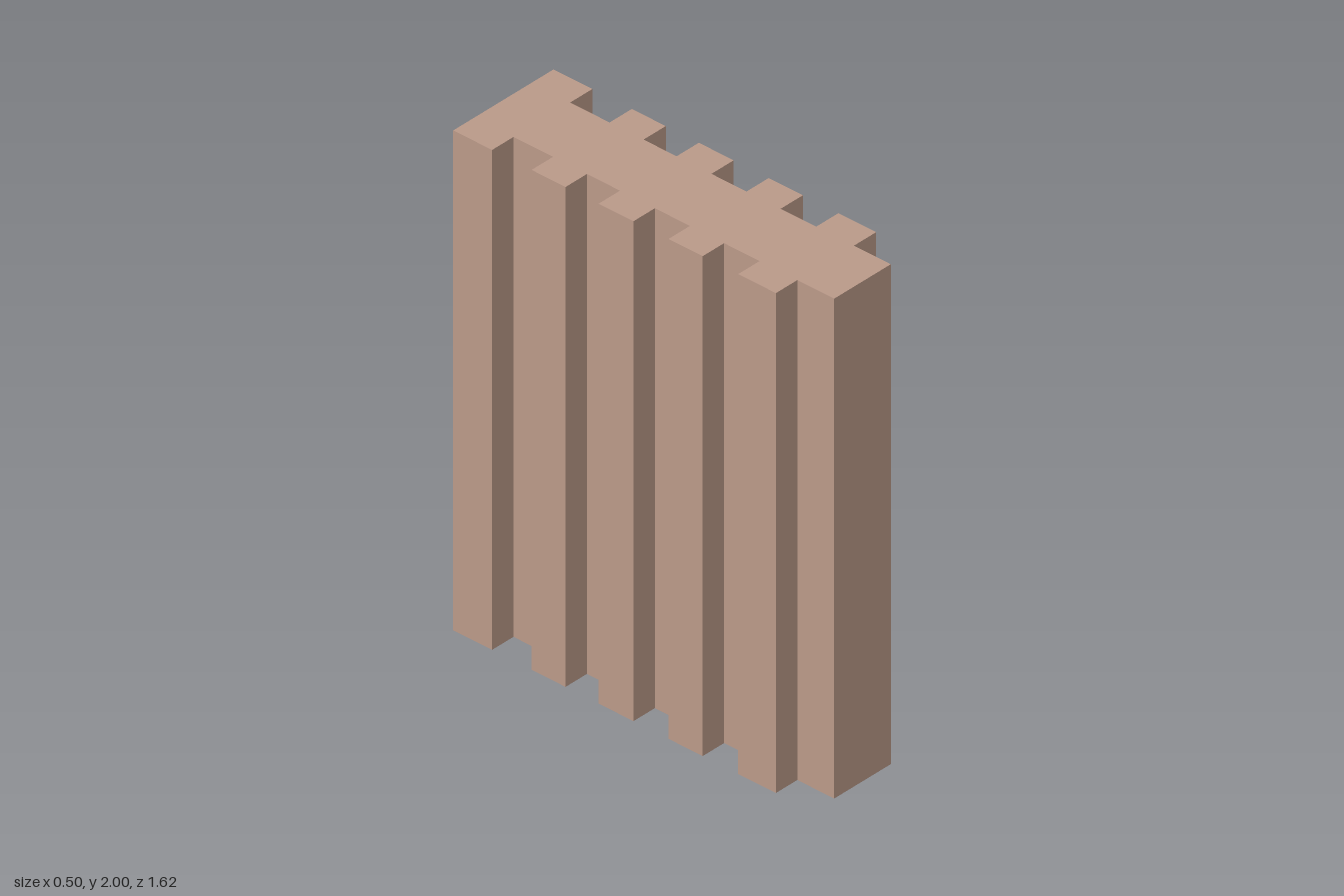
import * as THREE from 'three';

export function createModel() {
  const group = new THREE.Group();
  const clay = new THREE.MeshStandardMaterial({ color: 0xbc9b8a });
  clay.name = 'clay brown';

  // z ranges of the ribs that stick out on both sides of the core
  const ribs = [[-0.81, -0.635], [-0.457, -0.304], [-0.155, 0.002], [0.16, 0.314], [0.474, 0.644]];
  const endZ = 0.81, height = 2;

  // One side of the plan outline, back to front
  const side = (core, rib) => {
    const points = [];
    ribs.forEach(([a, b], i) => {
      if (i > 0) points.push([core, a]);
      points.push([rib, a], [rib, b], [core, b]);
    });
    points.push([core, endZ]);
    return points;
  };
  const outline = [...side(0.138, 0.248), ...side(-0.142, -0.248).reverse()];

  // Plan outline raised to full height (shape y becomes -z)
  const shape = new THREE.Shape(outline.map(([x, z]) => new THREE.Vector2(x, -z)));
  const geometry = new THREE.ExtrudeGeometry(shape, { depth: height, bevelEnabled: false });
  geometry.rotateX(-Math.PI / 2);

  const block = new THREE.Mesh(geometry, clay);
  block.name = 'ribbedBlock';
  group.add(block);
  return group;
}
